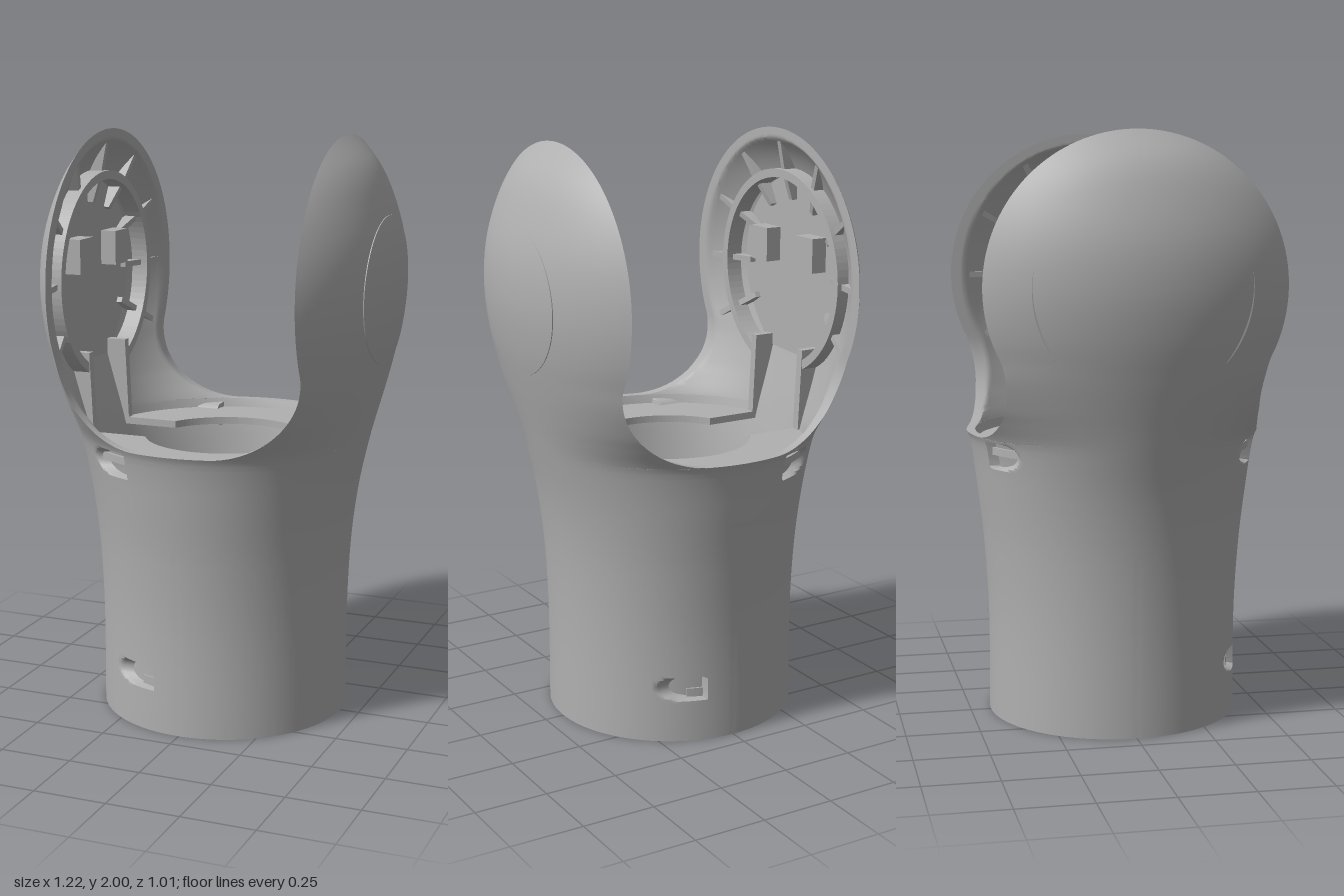
import * as THREE from 'three';
import { toCreasedNormals } from 'three/addons/utils/BufferGeometryUtils.js';

const WALL = 0.03, INNER = 0.43, RIM = 0.985, HUB = 1.495;

// Half-width and half-depth of the elliptical sections by height
const WIDTH = [[0, .43], [.35, .43], [.6, .441], [.8, .466], [1, .51], [1.2, .56], [1.35, .592],
  [1.5, .607], [1.65, .597], [1.8, .556], [1.9, .51], [2, .43]];
const DEPTH = [[0, .43], [.35, .43], [.6, .445], [.8, .468], [.93, .486], [.985, .502],
  [1.05, .55], [1.1, .59], [1.2, .65], [1.27, .673]];

// Smooth interpolation through a table
function interp(t, y) {
  let i = 0;
  while (i < t.length - 2 && y > t[i + 1][0]) i++;
  const slope = (k) => {
    const p = t[Math.max(k - 1, 0)], q = t[Math.min(k + 1, t.length - 1)];
    return k === 0 ? 0 : (q[1] - p[1]) / (q[0] - p[0]);
  };
  const h = t[i + 1][0] - t[i][0], s = (y - t[i][0]) / h, s2 = s * s, s3 = s2 * s;
  return t[i][1] * (2 * s3 - 3 * s2 + 1) + slope(i) * h * (s3 - 2 * s2 + s)
    + t[i + 1][1] * (3 * s2 - 2 * s3) + slope(i + 1) * h * (s3 - s2);
}
const halfWidth = (y) => interp(WIDTH, y);
function halfDepth(y) {
  if (y <= 1.27) return interp(DEPTH, y);
  const rim = Math.sqrt(Math.max(0, .503 ** 2 - (y - 1.497) ** 2));
  return rim / Math.sqrt(Math.max(1e-5, 1 - (INNER / halfWidth(y)) ** 2));
}

// Surface from a function of u and v, both 0..1
function grid(fn, nu, nv, crease = 0.6) {
  const pos = [], idx = [];
  for (let j = 0; j <= nv; j++) for (let i = 0; i <= nu; i++) pos.push(...fn(i / nu, j / nv));
  for (let j = 0; j < nv; j++) for (let i = 0; i < nu; i++) {
    const a = j * (nu + 1) + i, b = a + nu + 1;
    idx.push(a, b, a + 1, b, b + 1, a + 1);
  }
  const g = new THREE.BufferGeometry();
  g.setAttribute('position', new THREE.Float32BufferAttribute(pos, 3));
  g.setIndex(idx);
  return toCreasedNormals(g, crease);
}

// Screw recesses: round channels running along x into the tube wall
const RECESSES = [
  { end: -.1, dir: -1, side: 1, y: .19, z: .38, r: .038 },
  { end: .1, dir: 1, side: -1, y: .19, z: .38, r: .038 },
  { end: -.18, dir: -1, side: 1, y: .93, z: .41, r: .04 },
  { end: -.18, dir: -1, side: -1, y: .93, z: .41, r: .04 },
];
function bodyPoint(u, v) {
  const t = -u * Math.PI * 2, y = v * RIM;
  const x = halfWidth(y) * Math.cos(t);
  let z = halfDepth(y) * Math.sin(t);
  for (const c of RECESSES) {
    const dy = Math.abs(y - c.y);
    if (dy < c.r && z * c.side > 0 && (x - c.end) * c.dir > 0)
      z = c.side * Math.min(Math.abs(z), c.z - Math.sqrt(c.r ** 2 - dy ** 2));
  }
  return [x, y, z];
}
function ring(u, y, inset) {
  const t = u * Math.PI * 2;
  return [(halfWidth(y) - inset) * Math.cos(t), y, (halfDepth(y) - inset) * Math.sin(t)];
}

// Arm section: rows follow the U-shaped cut, then rise to the tip
function armPoint(u, v, inset) {
  let y, cut = INNER;
  if (v < 0.4) {
    const p = v / 0.4 * Math.PI / 2;
    y = RIM + .285 * (1 - Math.cos(p));
    cut = .13 + .3 * Math.sin(p);
  } else y = 1.27 + .73 * Math.sin((v - 0.4) / 0.6 * Math.PI / 2);
  const a = halfWidth(y), t = (1 - 2 * u) * Math.acos(Math.min(1, cut / a));
  return [Math.max(cut, (a - inset) * Math.cos(t)), y, (halfDepth(y) - inset) * Math.sin(t)];
}
const mix = (p, q, s) => p.map((c, i) => c + (q[i] - c) * s);

// Shape drawn in the arm plane, extruded from x0 to x1
function armPlate(shape, x0, x1) {
  const g = new THREE.ExtrudeGeometry(shape, { depth: x1 - x0, bevelEnabled: false, curveSegments: 40 });
  return g.rotateY(Math.PI / 2).translate(x0, HUB, 0);
}
function keyhole(r, w, bottom) {
  const a = Math.asin(w / r), s = new THREE.Shape();
  s.moveTo(w, bottom);
  s.absarc(0, 0, r, -Math.PI / 2 + a, 1.5 * Math.PI - a, false);
  s.lineTo(-w, bottom);
  return s;
}
function circleHole(x, y, r) {
  return new THREE.Path().absarc(x, y, r, 0, Math.PI * 2, true);
}

export function createModel() {
  const model = new THREE.Group();
  const grey = new THREE.MeshStandardMaterial({ color: 0xb0b0b0, side: THREE.DoubleSide });
  grey.name = 'plain grey';
  const add = (parent, name, geometry) => {
    const m = new THREE.Mesh(geometry, grey);
    m.name = name;
    parent.add(m);
    return m;
  };

  // Tubular body
  add(model, 'bodyOuter', grid(bodyPoint, 280, 116));
  add(model, 'bodyInner', grid((u, v) => ring(u, v * RIM, WALL), 96, 24));
  add(model, 'bottomLip', grid((u, v) => ring(u, 0, v * WALL), 96, 1));
  add(model, 'topLip', grid((u, v) => ring(u, RIM, v * WALL), 96, 1));

  // Latch rails inside the base
  for (let i = 0; i < 4; i++) {
    const s = new THREE.Shape();
    s.absarc(0, 0, .405, -.22, .22, false);
    s.absarc(0, 0, .38, .22, -.22, true);
    const g = new THREE.ExtrudeGeometry(s, { depth: .06, bevelEnabled: false });
    add(model, 'latchRail', g.rotateX(-Math.PI / 2).translate(0, .12, 0)).rotation.y = i * Math.PI / 2 - .17;
  }

  // Two halves of the inner shelf around the cable opening
  for (const turn of [0, Math.PI]) {
    const s = new THREE.Shape(), o = Math.asin(.13 / .475), n = Math.asin(.13 / .28);
    s.absellipse(0, 0, .475, .475, o, Math.PI - o, false, 0);
    s.absarc(0, 0, .28, Math.PI - n, n, true);
    const g = new THREE.ExtrudeGeometry(s, { depth: .025, bevelEnabled: false, curveSegments: 20 });
    add(model, 'shelf', g.rotateX(Math.PI / 2).translate(0, .955, 0)).rotation.y = turn;
  }

  // Parts common to both arms
  const rib = new THREE.Shape([[.25, .495], [.36, .46], [.475, .437], [.475, .447], [.4, .49], [.25, .545]]
    .map((p) => new THREE.Vector2(...p)));
  const leg = new THREE.Shape([[.432, .94], [.462, .94], [.53, 1.2], [.53, 1.24], [.445, 1.24]]
    .map((p) => new THREE.Vector2(...p)));
  const makeArm = (name) => {
    const arm = new THREE.Group();
    arm.name = name;
    add(arm, 'armOuter', grid((u, v) => armPoint(u, v, 0), 64, 70));
    add(arm, 'armInner', grid((u, v) => armPoint(u, v, WALL), 64, 70));
    for (const e of [0, 1])
      add(arm, 'armRim', grid((u, v) => mix(armPoint(e, v, 0), armPoint(e, v, WALL), u), 1, 70));
    for (let i = 0; i < 9; i++) {
      const t = (-30 + i * 30) * Math.PI / 180, c = Math.cos(t), s = Math.sin(t);
      const g = new THREE.ExtrudeGeometry(rib, { depth: .02, bevelEnabled: false }).translate(0, 0, -.01);
      g.applyMatrix4(new THREE.Matrix4().makeBasis(new THREE.Vector3(0, s, c),
        new THREE.Vector3(1, 0, 0), new THREE.Vector3(0, c, -s)));
      add(arm, 'rib', g.translate(0, HUB, 0));
    }
    for (const z of [-.16, .13])
      add(arm, 'leg', new THREE.ExtrudeGeometry(leg, { depth: .03, bevelEnabled: false }).translate(0, 0, z));
    model.add(arm);
    return arm;
  };

  // Left arm: drilled hub plate inside, round cover outside
  const left = makeArm('leftArm');
  const plate = keyhole(.28, .13, -.295);
  plate.holes.push(circleHole(0, 0, .05));
  for (let i = 0; i < 4; i++) for (const d of [-.32, 0, .32]) {
    const t = Math.PI / 4 + i * Math.PI / 2 + d;
    plate.holes.push(circleHole(.175 * Math.cos(t), .175 * Math.sin(t), .019));
  }
  add(left, 'hubPlate', armPlate(plate, .5, .53));
  const collar = new THREE.Shape().absarc(0, 0, .075, -1.2, Math.PI + 1.2, false);
  collar.absarc(0, 0, .05, Math.PI + 1.2, -1.2, true);
  add(left, 'hubCollar', armPlate(collar, .48, .505));
  add(left, 'roundCover', grid((u, v) => {
    const r = Math.min(v * 1.05, 1) * .247, t = u * Math.PI * 2;
    const y = HUB + r * Math.sin(t), z = r * Math.cos(t);
    const x = halfWidth(y) * Math.sqrt(1 - (z / halfDepth(y)) ** 2);
    return [x + (v > .99 ? -.004 : .003), y, z];
  }, 64, 21));

  // Right arm: keyhole-shaped pocket with two mounting blocks
  const right = makeArm('rightArm');
  right.scale.x = -1;
  add(right, 'pocketFloor', armPlate(keyhole(.34, .14, -.295), .515, .53));
  const wall = new THREE.Shape(), o = Math.asin(.16 / .36), n = Math.asin(.13 / .33);
  wall.moveTo(.16, -.295);
  wall.absarc(0, 0, .36, -Math.PI / 2 + o, 1.5 * Math.PI - o, false);
  wall.lineTo(-.16, -.295);
  wall.lineTo(-.13, -.295);
  wall.absarc(0, 0, .33, 1.5 * Math.PI - n, -Math.PI / 2 + n, true);
  wall.lineTo(.13, -.295);
  add(right, 'pocketWall', armPlate(wall, .445, .525));
  for (const z of [-.14, .14])
    add(right, 'mountingBlock', new THREE.BoxGeometry(.06, .12, .1).translate(.488, 1.575, z));

  return model;
}
